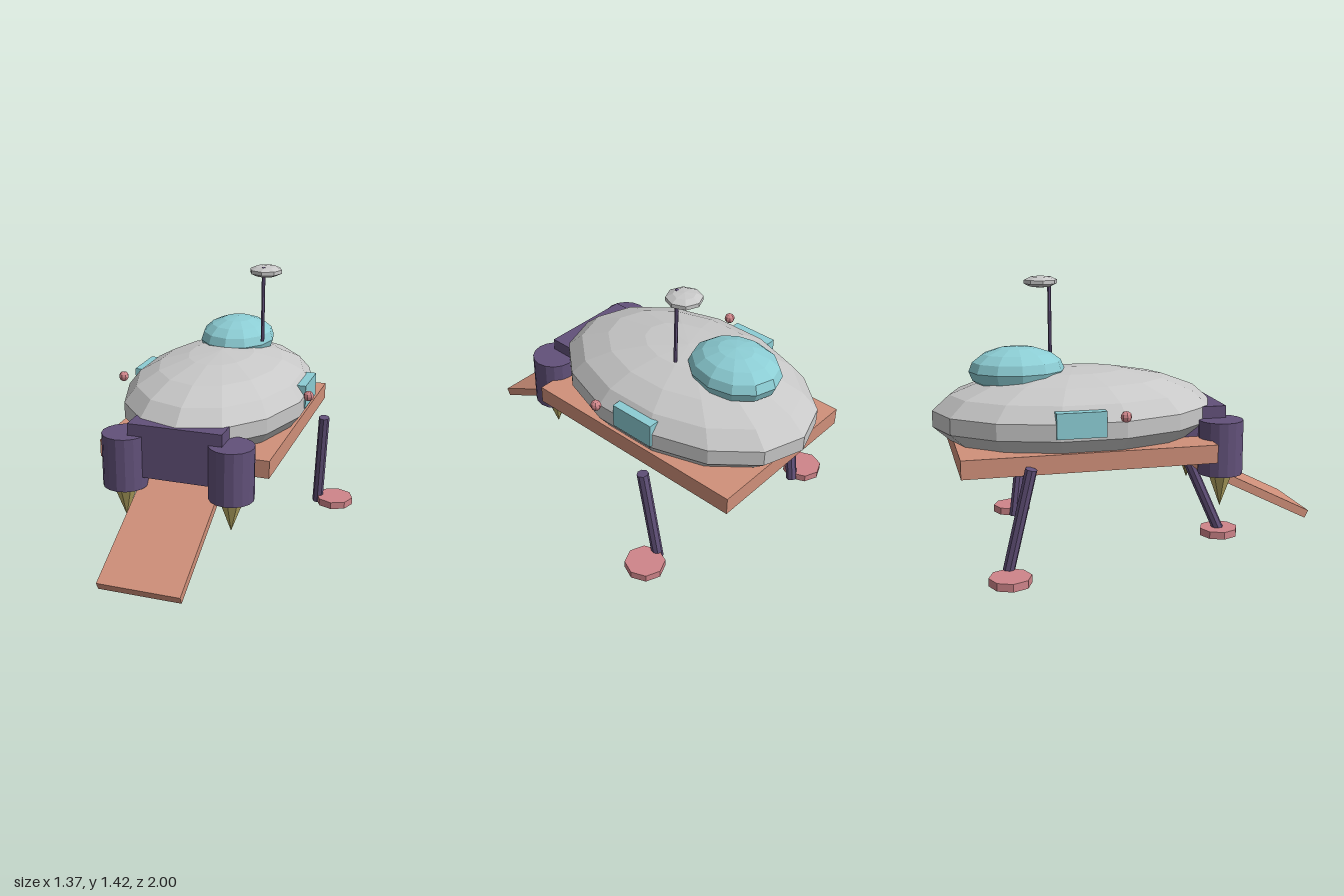
import * as THREE from 'three';

const mat = (name, color) => {
  const m = new THREE.MeshStandardMaterial({ color, flatShading: true });
  m.name = name;
  return m;
};

export function createModel() {
  const hullGrey = mat('hull grey', 0xc8c8c8);
  const glass = mat('teal glass', 0x8ccdd4);
  const purple = mat('engine purple', 0x62517a);
  const tan = mat('deck tan', 0xd0907a);
  const pink = mat('foot pink', 0xcf858a);
  const gold = mat('flame gold', 0xb9aa64);

  const group = new THREE.Group();
  const midX = -0.042; // centre line of the ship

  const add = (name, geometry, material, x, y, z) => {
    const mesh = new THREE.Mesh(geometry, material);
    mesh.name = name;
    mesh.position.set(x, y, z);
    group.add(mesh);
    return mesh;
  };
  const box = (w, h, d) => new THREE.BoxGeometry(w, h, d);
  // Faceted ellipsoid with a vertex on the z axis
  const ellipsoid = (rx, ry, rz, around, rows) =>
    new THREE.SphereGeometry(1, around, rows).rotateY(Math.PI / 2).scale(rx, ry, rz);
  // Round bar between two points
  const bar = (name, from, to, radius, sides) => {
    const a = new THREE.Vector3(...from);
    const b = new THREE.Vector3(...to);
    const dir = b.clone().sub(a);
    const mid = a.add(b).multiplyScalar(0.5);
    const mesh = add(name, new THREE.CylinderGeometry(radius, radius, dir.length(), sides), purple, mid.x, mid.y, mid.z);
    mesh.quaternion.setFromUnitVectors(new THREE.Vector3(0, 1, 0), dir.normalize());
  };

  // Body
  add('hull', ellipsoid(0.51, 0.241, 0.75, 14, 9), hullGrey, midX, 0.725, -0.26);
  add('canopy', ellipsoid(0.21, 0.124, 0.248, 12, 8), glass, midX, 0.96, -0.56);
  add('deck', box(0.915, 0.094, 1.28), tan, midX, 0.567, -0.26);

  // Engine block and ramp
  add('engineBlock', box(0.5, 0.284, 0.315), purple, -0.045, 0.627, 0.335);
  const ramp = add('ramp', box(0.425, 0.045, 0.705), tan, midX, 0.286, 0.675);
  ramp.rotation.x = 0.468;

  // Paired thrusters, windows and lamps
  for (const side of [-1, 1]) {
    const label = side > 0 ? 'left' : 'right';
    const x = midX + side * 0.285;
    add(label + 'Thruster', new THREE.CylinderGeometry(0.117, 0.117, 0.283, 16), purple, x, 0.564, 0.453);
    const flame = add(label + 'Flame', new THREE.ConeGeometry(0.067, 0.18, 8), gold, x, 0.332, 0.455);
    flame.rotation.x = Math.PI;
    add(label + 'Window', box(0.056, 0.127, 0.247), glass, midX + side * 0.468, 0.76, -0.322);
    add(label + 'Lamp', new THREE.SphereGeometry(0.028, 8, 6), pink, midX + side * 0.532, 0.8, -0.115);
  }

  // Three landing legs, each with its foot pad
  const legs = [
    ['front', [-0.112, 0.56, 0.295], [-0.12, 0.016, 0.535], [-0.125, 0.525]],
    ['left', [0.51, 0.563, -0.448], [0.474, 0.01, -0.522], [0.575, -0.523]],
    ['right', [-0.53, 0.56, -0.57], [-0.48, 0.013, -0.69], [-0.58, -0.688]],
  ];
  for (const [label, top, bottom, [fx, fz]] of legs) {
    bar(label + 'Leg', top, bottom, 0.03, 8);
    add(label + 'Foot', new THREE.CylinderGeometry(0.105, 0.105, 0.04, 8), pink, fx, 0.031, fz);
  }

  // Antenna
  bar('antennaMast', [0.165, 1.008, -0.35], [0.165, 1.421, -0.35], 0.01, 6);
  add('antennaDish', ellipsoid(0.094, 0.032, 0.094, 8, 5), hullGrey, 0.165, 1.393, -0.396);

  return group;
}
